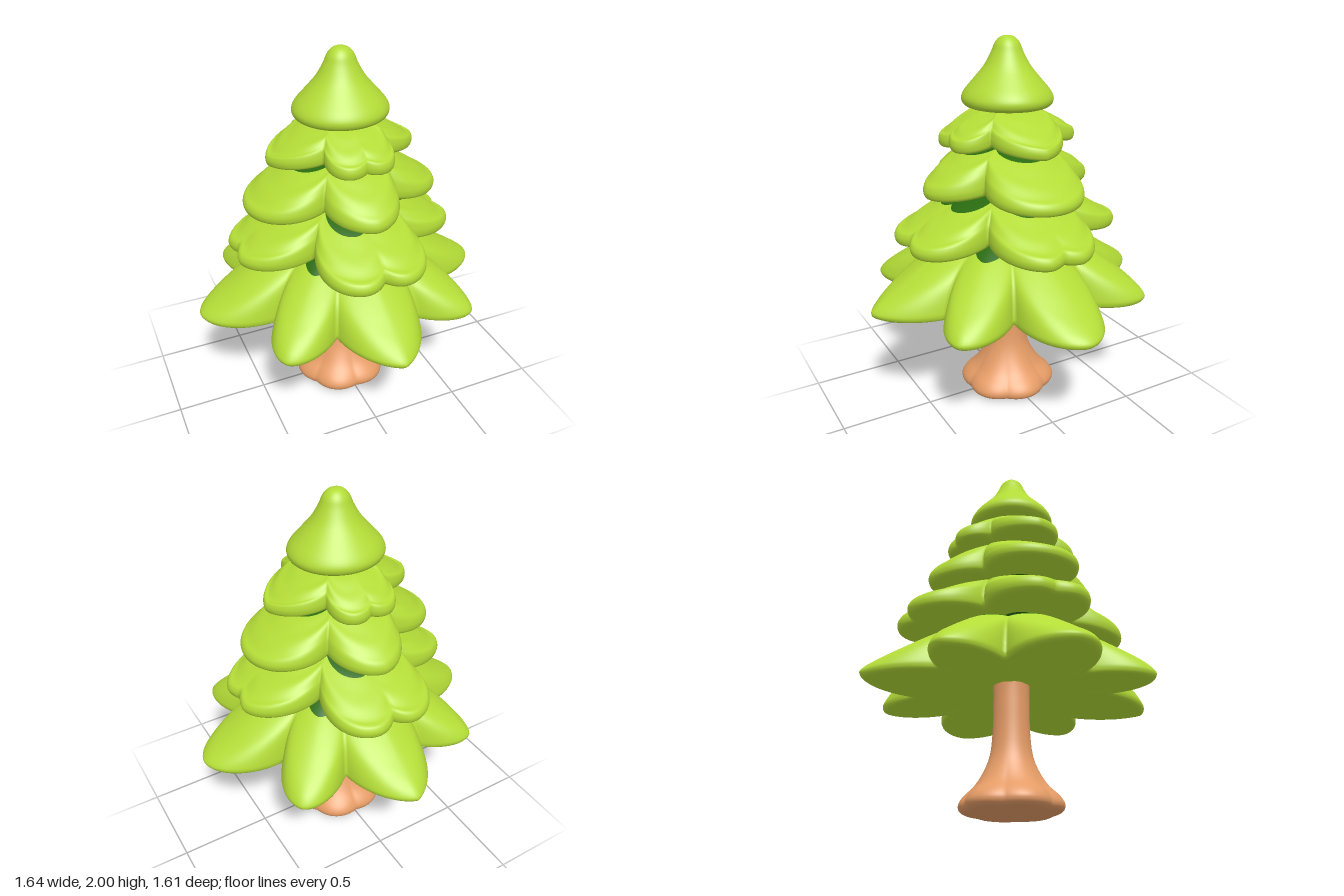
import * as THREE from 'three';

const mat = (name, color) => {
  const m = new THREE.MeshStandardMaterial({ color });
  m.name = name;
  return m;
};

// Smooth curve through [x, y] points
const smooth = (pts, n) =>
  new THREE.CatmullRomCurve3(pts.map(([x, y]) => new THREE.Vector3(x, y, 0)), false, 'centripetal').getPoints(n);

// Closed surface: profile rows swept round y; place(row, angle, i) returns [radius, height].
// zone(row, i) picks the material index of each band.
function sweep(rows, columns, place, zone) {
  const pos = [], idx = [], geo = new THREE.BufferGeometry();
  rows.forEach((row, i) => {
    for (let j = 0; j < columns; j++) {
      const a = (j / columns) * Math.PI * 2;
      const [r, y] = place(row, a, i);
      pos.push(r * Math.cos(a), y, r * Math.sin(a));
    }
  });
  for (let i = 0; i < rows.length - 1; i++) {
    const start = idx.length;
    for (let j = 0; j < columns; j++) {
      const k = (j + 1) % columns;
      const a = i * columns + j, b = a + columns, c = i * columns + k, d = c + columns;
      idx.push(a, c, b, c, d, b);
    }
    geo.addGroup(start, idx.length - start, zone(rows[i], i));
  }
  geo.setAttribute('position', new THREE.Float32BufferAttribute(pos, 3));
  geo.setIndex(idx);
  geo.computeVertexNormals();
  return geo;
}

// Outline radius at an angle. Keys run over one quarter, alternating tips [deg, r, power]
// and notches [deg, r]; the quarter is mirrored to all four.
function outline(keys, angle) {
  let d = (angle * 180) / Math.PI % 180;
  if (d > 90) d = 180 - d;
  let i = 0;
  while (i < keys.length - 2 && d > keys[i + 1][0]) i++;
  const [p, q] = [keys[i], keys[i + 1]];
  const [tip, notch] = p.length === 3 ? [p, q] : [q, p];
  const u = Math.min(1, Math.abs((d - tip[0]) / (notch[0] - tip[0])));
  return tip[1] - (tip[1] - notch[1]) * Math.pow(u, tip[2]);
}

// Heights of the upper side, as fractions, at these shares of the radius
const SHARES = [0.2, 0.4, 0.55, 0.7, 0.82, 0.92];
const ROUND = [0.95, 0.85, 0.74, 0.57, 0.44, 0.3];
const DROOP = [0.94, 0.8, 0.65, 0.47, 0.32, 0.205];

// base: rim height, h: height, edge: rim thickness, lift: how far notches rise,
// bulge: how steeply lobe sides fall, dark: share of the radius in deep green
const TIERS = [
  { name: 'bottomBranches', base: 0.605, h: 0.44, edge: 0.065, lift: 0.05, bulge: 0.5, top: DROOP, dark: 0.48,
    keys: [[0, 0.82, 1.7], [25.5, 0.5], [46.5, 0.77, 1.65], [64.5, 0.53], [90, 0.805, 1.3]] },
  { name: 'lowerBranches', base: 0.943, h: 0.285, edge: 0.085, lift: 0.13, bulge: 0.3, top: ROUND, dark: 0.57,
    keys: [[0, 0.58], [9, 0.615, 1.6], [45, 0.36], [78, 0.62, 2], [90, 0.56]] },
  { name: 'middleBranches', base: 1.19, h: 0.275, edge: 0.075, lift: 0.14, bulge: 0.3, top: ROUND, dark: 0.5,
    keys: [[0, 0.53, 2], [51, 0.31], [90, 0.48, 1.6]] },
  { name: 'upperBranches', base: 1.437, h: 0.215, edge: 0.07, lift: 0.14, bulge: 0.25, top: ROUND, dark: 0,
    keys: [[0, 0.405, 1.3], [48, 0.26], [75, 0.365, 2], [90, 0.335]] },
];

export function createModel() {
  const model = new THREE.Group();
  model.name = 'tree';
  const leaf = mat('leafGreen', 0xb3dc37);
  const shade = mat('deepGreen', 0x2a6a10);
  const bark = mat('bark', 0xe59c66);
  const add = (name, geo, material) => {
    const mesh = new THREE.Mesh(geo, material);
    mesh.name = name;
    model.add(mesh);
    return mesh;
  };

  // Lobed tiers of branches, deep green near the middle
  TIERS.forEach(({ name, base, h, edge, lift, bulge, top, dark, keys }, n) => {
    const maxR = Math.max(...keys.map((k) => k[1]));
    const rows = smooth([
      [0, h], ...SHARES.map((s, i) => [s, h * top[i]]),
      [0.98, edge * 0.85], [1, edge * 0.5], [0.985, edge * 0.14],
      [0.93, 0], [0.75, h * 0.04], [0.4, h * 0.11], [0, h * 0.16],
    ], 52);
    const rim = rows.reduce((best, p, i) => (p.x > rows[best].x ? i : best), 0);
    const place = (row, a, i) => {
      const R = outline(keys, a), s = row.x;
      const swell = i < rim ? bulge * (1 - s ** 8) : 0;
      return [s * R, base + row.y + (lift + swell) * (1 - R / maxR) * s * s];
    };
    const zone = (row, i) => {
      if (i < rim) return row.x < dark ? 1 : 0;
      if (n === 0) return row.x < 0.2 ? 2 : 0;
      return row.x < 0.58 ? 1 : 0;
    };
    add(name, sweep(rows, 240, place, zone), [leaf, shade, bark]);
  });

  // Bell-shaped crown
  const crown = smooth([
    [0, 2], [0.035, 1.993], [0.065, 1.965], [0.085, 1.92], [0.125, 1.85], [0.185, 1.78],
    [0.235, 1.722], [0.249, 1.688], [0.24, 1.66], [0.212, 1.645], [0.16, 1.645], [0, 1.66],
  ], 40);
  add('crown', sweep(crown, 64, (p) => [p.x, p.y], () => 0), [leaf]).scale.z = 0.95;

  // Trunk flaring into root lobes
  const trunk = smooth([
    [0, 0.85], [0.09, 0.84], [0.095, 0.62], [0.097, 0.42], [0.11, 0.3], [0.138, 0.22], [0.185, 0.14],
    [0.237, 0.085], [0.255, 0.05], [0.25, 0.025], [0.225, 0.008], [0.12, 0.004], [0, 0.004],
  ], 48);
  const roots = (p, a) => {
    const flare = THREE.MathUtils.smoothstep(p.x, 0.1, 0.25);
    return [p.x * (1 + flare * (0.09 * Math.abs(Math.cos(3 * a)) - 0.045)), p.y];
  };
  add('trunk', sweep(trunk, 120, roots, () => 0), [bark]);

  return model;
}
